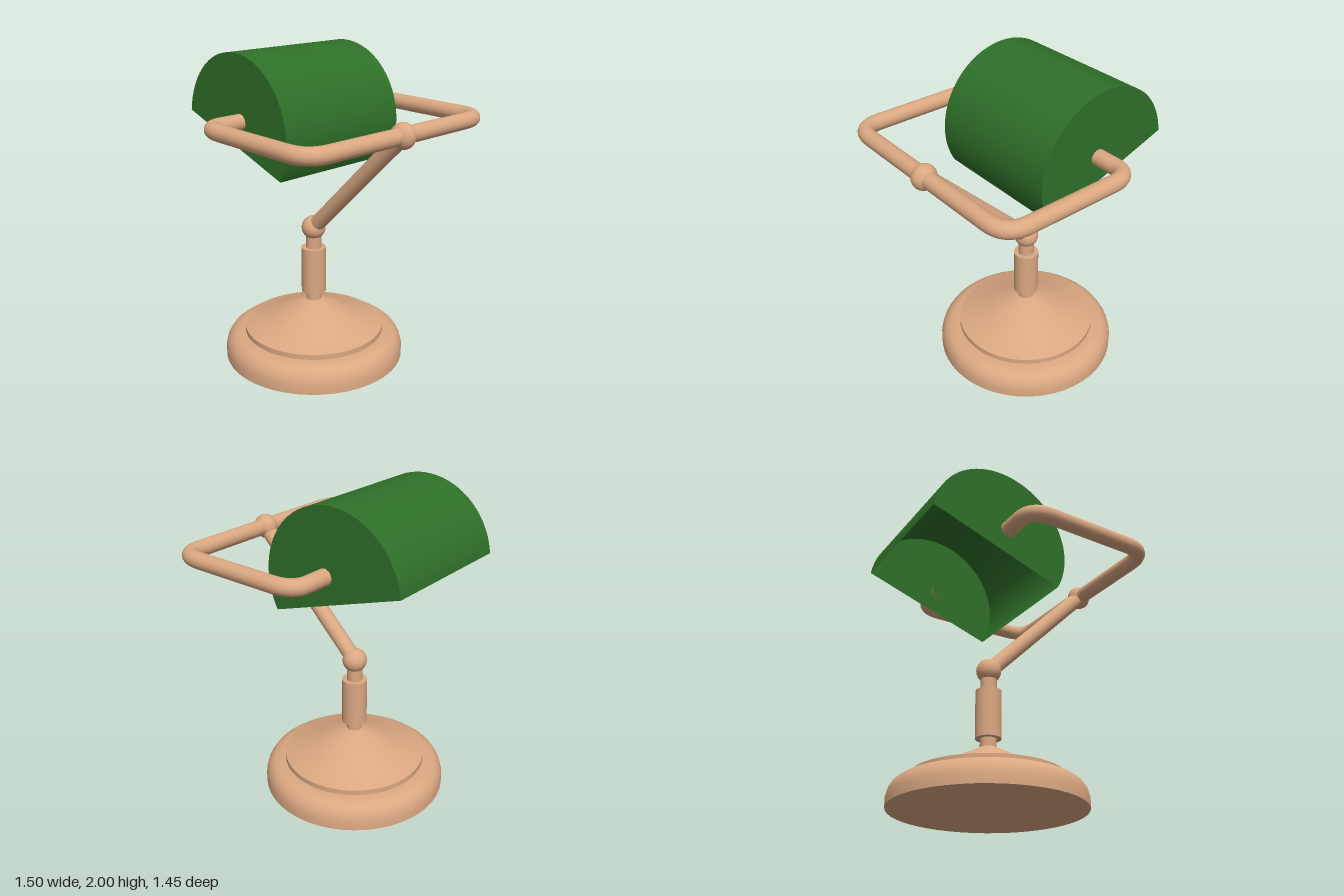
import * as THREE from 'three';
import { toCreasedNormals } from 'three/addons/utils/BufferGeometryUtils.js';

const V = (x, y, z) => new THREE.Vector3(x, y, z);

export function createModel() {
  const lamp = new THREE.Group();
  lamp.name = 'deskLamp';
  const copper = new THREE.MeshStandardMaterial({ color: 0xdba882 });
  const green = new THREE.MeshStandardMaterial({ color: 0x2f7029, side: THREE.DoubleSide });

  const axisZ = -0.08;       // stem and base axis
  const barY = 1.6;          // height of the yoke
  const barZ = 0.65;         // front rail of the yoke
  const tubeR = 0.05;

  const add = (name, geometry, material, x = 0, y = 0, z = 0, parent = lamp) => {
    const mesh = new THREE.Mesh(geometry, material);
    mesh.name = name;
    mesh.position.set(x, y, z);
    parent.add(mesh);
    return mesh;
  };
  const lathe = (profile) => toCreasedNormals(
    new THREE.LatheGeometry(profile.map(([r, y]) => new THREE.Vector2(r, y)), 48), 0.6);

  // Round foot with a rolled shoulder
  add('base', lathe([[0, 0], [0.585, 0], [0.585, 0.06], [0.575, 0.1], [0.555, 0.132],
    [0.525, 0.155], [0.485, 0.165], [0.4, 0.168], [0, 0.168]]), copper, 0, 0, axisZ);
  // Flared cone on top of the foot
  add('baseCone', lathe([[0.455, 0.165], [0.455, 0.2], [0.26, 0.265], [0.05, 0.375], [0, 0.375]]),
    copper, 0, 0, axisZ);

  // Stem, sleeve and lower joint
  add('stem', new THREE.CylinderGeometry(tubeR, tubeR, 0.5, 32), copper, 0, 0.61, axisZ);
  add('stemSleeve', new THREE.CylinderGeometry(0.08, 0.08, 0.305, 32), copper, 0, 0.583, axisZ);
  add('lowerJoint', new THREE.SphereGeometry(0.077, 32, 20), copper, 0, 0.87, axisZ);

  // Slanted arm from the lower joint to the yoke
  const from = V(0, 0.87, axisZ), to = V(0, barY, barZ);
  const dir = to.clone().sub(from);
  const mid = from.clone().add(to).multiplyScalar(0.5);
  const arm = add('arm', new THREE.CylinderGeometry(tubeR, tubeR, dir.length(), 24), copper, mid.x, mid.y, mid.z);
  arm.quaternion.setFromUnitVectors(V(0, 1, 0), dir.normalize());
  add('upperJoint', new THREE.SphereGeometry(0.077, 32, 20), copper, 0, barY, barZ).scale.x = 0.88;

  // Yoke: two mirrored bent tubes holding the shade ends
  for (const [name, s] of [['leftYoke', 1], ['rightYoke', -1]]) {
    const p = (x, z) => V(s * x, barY, z);
    const path = new THREE.CurvePath();
    path.add(new THREE.LineCurve3(p(0, barZ), p(0.55, barZ)));
    path.add(new THREE.QuadraticBezierCurve3(p(0.55, barZ), p(0.7, barZ), p(0.7, 0.5)));
    path.add(new THREE.LineCurve3(p(0.7, 0.5), p(0.7, -0.08)));
    path.add(new THREE.QuadraticBezierCurve3(p(0.7, -0.08), p(0.7, -0.22), p(0.58, -0.22)));
    path.add(new THREE.LineCurve3(p(0.58, -0.22), p(0.44, -0.22)));
    add(name, new THREE.TubeGeometry(path, 72, tubeR, 20, false), copper);
  }

  // Shade: open-bottomed drum with closed ends; local x points to the back
  const shade = new THREE.Group();
  shade.name = 'shade';
  shade.position.set(0, 1.538, -0.265);
  shade.rotation.y = Math.PI / 2;
  lamp.add(shade);
  const r = 0.462, width = 0.9, start = 0.13, end = 3.653, segments = 24;
  const shell = new THREE.CylinderGeometry(r, r, width, segments, 1, true, start + Math.PI / 2, end - start);
  shell.rotateX(Math.PI / 2);
  add('shadeShell', shell, green, 0, 0, 0, shade);
  const outline = new THREE.Shape();
  outline.absarc(0, 0, r, start, end, false);
  for (const [name, s] of [['shadeLeftEnd', 1], ['shadeRightEnd', -1]]) {
    const cap = new THREE.ShapeGeometry(outline, segments);
    if (s < 0) {
      // Turn the far end outward
      cap.scale(-1, 1, 1).rotateY(Math.PI);
      const index = cap.index.array;
      for (let i = 0; i < index.length; i += 3) [index[i], index[i + 1]] = [index[i + 1], index[i]];
      cap.computeVertexNormals();
    }
    add(name, cap, green, 0, 0, s * width / 2, shade);
  }
  return lamp;
}
